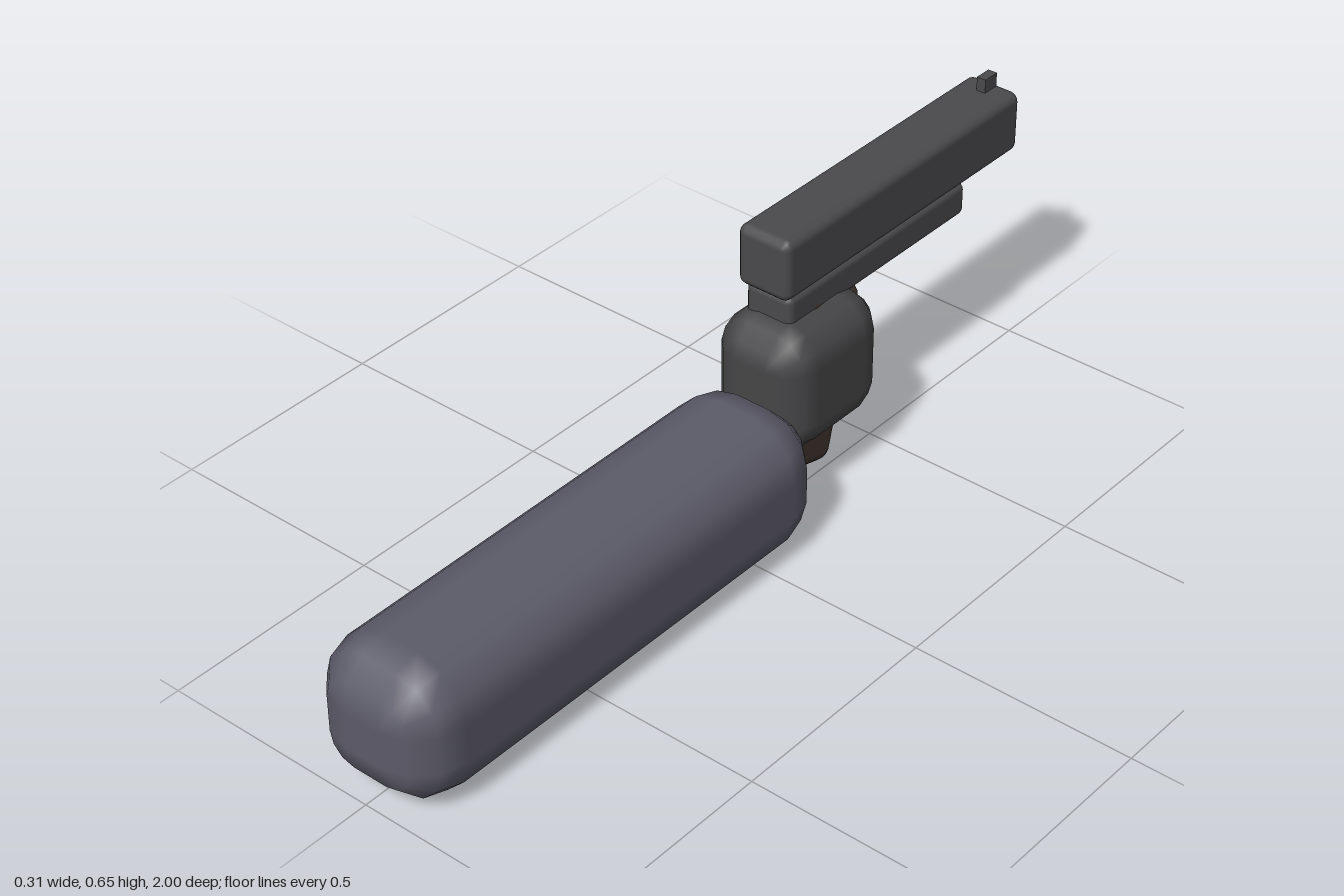
import * as THREE from 'three';

const STEPS = 3; // bevel steps per quarter turn

// Box between two corners whose edges are rounded by radius r
function bevelBox(w, h, d, r) {
  const pos = [], nor = [], idx = [], cols = 4 * (STEPS + 1);
  const hx = w / 2 - r, hy = h / 2 - r, hz = d / 2 - r;
  const addRow = (t, sz, isCap) => {
    for (let q = 0; q < 4; q++) for (let k = 0; k <= STEPS; k++) {
      const a = (q + k / STEPS) * Math.PI / 2;
      const n = [Math.sin(t) * Math.cos(a), Math.sin(t) * Math.sin(a), Math.cos(t)];
      const sx = isCap ? 0 : (q === 0 || q === 3 ? 1 : -1);
      const sy = isCap ? 0 : (q < 2 ? 1 : -1);
      pos.push(sx * hx + n[0] * r, sy * hy + n[1] * r, sz * hz + n[2] * r);
      nor.push(...n);
    }
  };
  addRow(0, 1, true);
  for (let k = 0; k <= STEPS; k++) addRow(k / STEPS * Math.PI / 2, 1, false);
  for (let k = 0; k <= STEPS; k++) addRow((1 + k / STEPS) * Math.PI / 2, -1, false);
  addRow(Math.PI, -1, true);
  const rows = pos.length / 3 / cols;
  for (let i = 0; i < rows - 1; i++) for (let j = 0; j < cols; j++) {
    const j2 = (j + 1) % cols;
    const a = i * cols + j, b = a + cols, c = (i + 1) * cols + j2, e = i * cols + j2;
    idx.push(a, b, c, a, c, e);
  }
  const g = new THREE.BufferGeometry();
  g.setAttribute('position', new THREE.Float32BufferAttribute(pos, 3));
  g.setAttribute('normal', new THREE.Float32BufferAttribute(nor, 3));
  g.setIndex(idx);
  return g;
}

export function createModel() {
  const group = new THREE.Group();
  const mat = color => new THREE.MeshStandardMaterial({ color });
  const cloth = mat(0x5c5b69), glove = mat(0x464648), metal = mat(0x4a4a4d);
  const brown = mat(0x3e332d), black = mat(0x080808);

  const add = (name, size, centre, r, material) => {
    const geo = r ? bevelBox(...size, r) : new THREE.BoxGeometry(...size);
    const mesh = new THREE.Mesh(geo, material);
    mesh.name = name;
    mesh.position.set(...centre);
    group.add(mesh);
    return mesh;
  };

  // Arm and hand
  add('forearm', [0.312, 0.312, 1.165], [0.001, 0.157, 0.4175], 0.115, cloth);
  add('hand', [0.233, 0.29, 0.306], [-0.041, 0.275, -0.303], 0.08, glove);

  // Pistol, pointing to -z
  const gx = -0.057;
  add('slide', [0.131, 0.14, 0.776], [gx, 0.547, -0.592], 0.02, metal);
  add('frame', [0.116, 0.078, 0.582], [gx, 0.438, -0.515], 0.016, metal);
  const grip = add('grip', [0.124, 0.405, 0.188], [gx, 0.228, -0.324], 0.03, brown);
  grip.rotation.x = -0.25;
  add('muzzle', [0.048, 0.05, 0.05], [gx, 0.546, -0.975], 0.008, black);
  add('frontSight', [0.022, 0.041, 0.04], [gx, 0.628, -0.945], 0, metal);

  return group;
}
